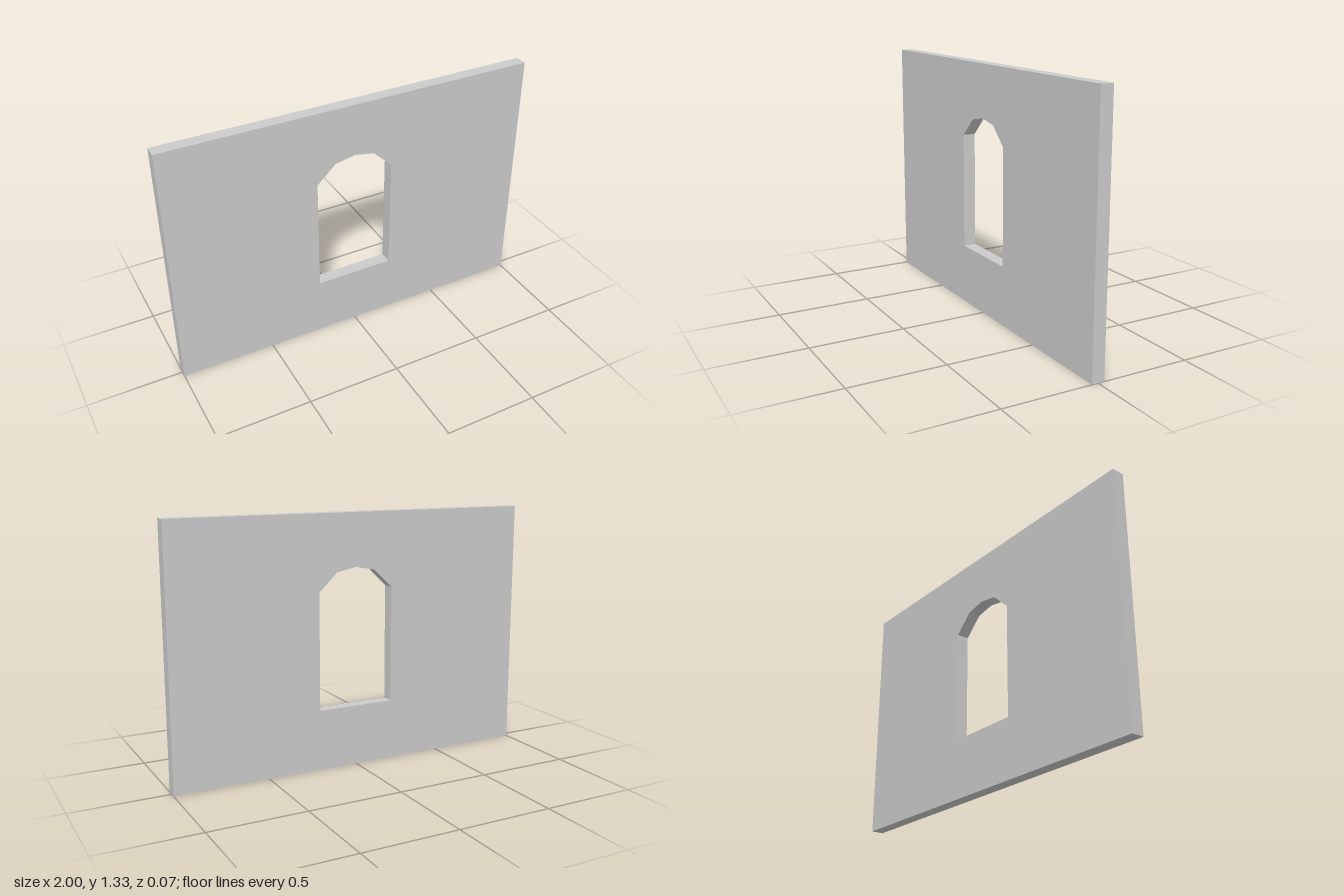
import * as THREE from 'three';

const WIDTH = 2, HEIGHT = 1.333, DEPTH = 0.067;

export function createModel() {
  const group = new THREE.Group();
  group.name = 'wallWithArchedWindow';

  // Rectangular wall outline
  const outline = new THREE.Shape([
    [-WIDTH / 2, 0], [WIDTH / 2, 0], [WIDTH / 2, HEIGHT], [-WIDTH / 2, HEIGHT],
  ].map(([x, y]) => new THREE.Vector2(x, y)));

  // Window opening with a faceted arch, right half mirrored to the left
  const half = [[0.21, 0.32], [0.21, 0.937], [0.107, 1.034]];
  const mirrored = half.map(([x, y]) => [-x, y]).reverse();
  const opening = [...half, [0, 1.054], ...mirrored];
  outline.holes.push(new THREE.Path(opening.map(([x, y]) => new THREE.Vector2(x, y))));

  // Extruded slab, centred in depth
  const geometry = new THREE.ExtrudeGeometry(outline, { depth: DEPTH, bevelEnabled: false });
  geometry.translate(0, 0, -DEPTH / 2);

  const wall = new THREE.Mesh(
    geometry,
    new THREE.MeshStandardMaterial({ color: 0xcccccc, flatShading: true }),
  );
  wall.name = 'wall';
  group.add(wall);
  return group;
}
